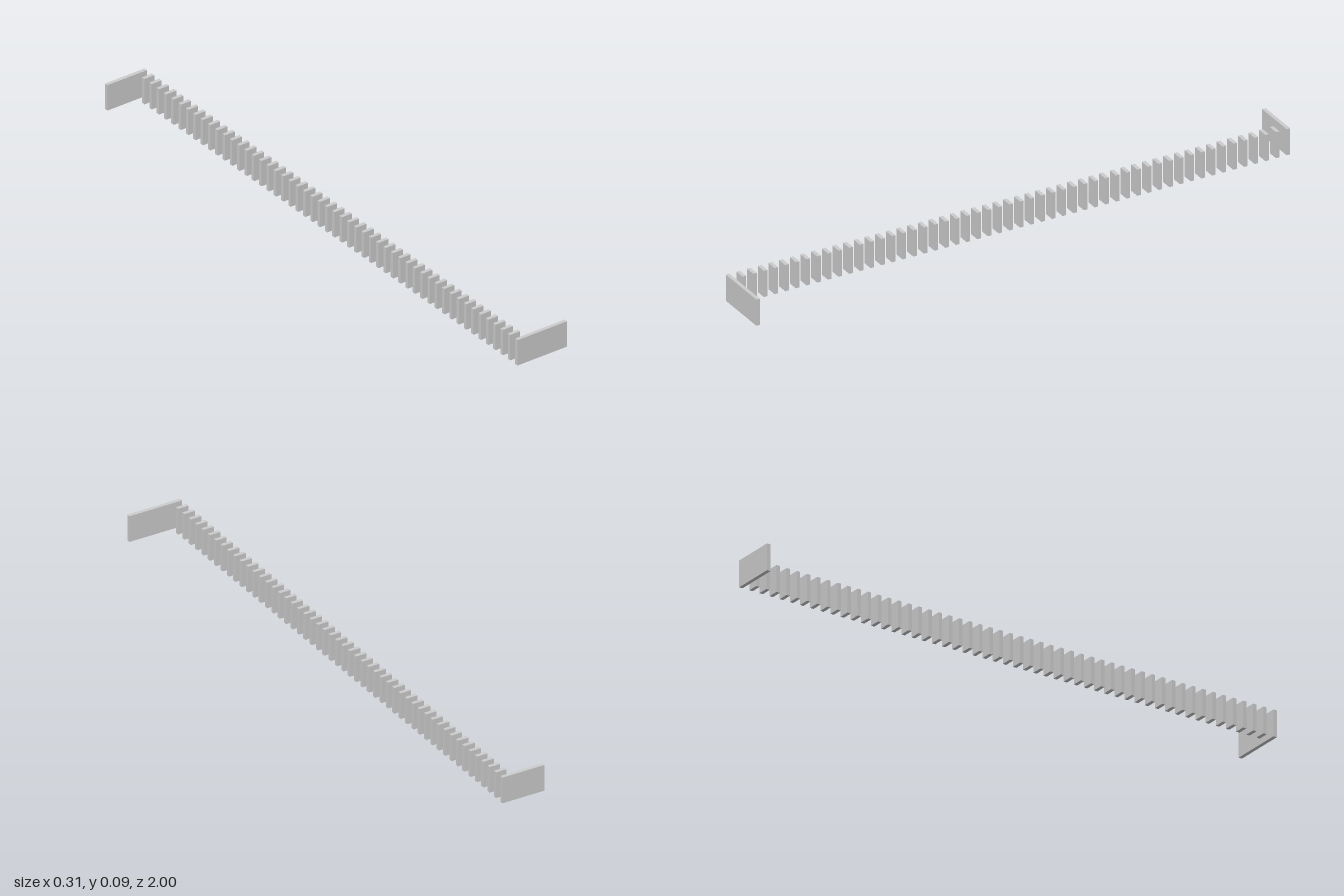
import * as THREE from 'three';

export function createModel() {
  const group = new THREE.Group();
  const material = new THREE.MeshStandardMaterial({ color: 0xcccccc });

  const count = 53;                     // end plates included
  const thickness = 0.0127;
  const pitch = (2 - thickness) / (count - 1);
  const height = 0.092;

  // Upright plate from x0 to x1, centred on z
  function addPlate(name, x0, x1, z) {
    const mesh = new THREE.Mesh(new THREE.BoxGeometry(x1 - x0, height, thickness), material);
    mesh.name = name;
    mesh.position.set((x0 + x1) / 2, height / 2, z);
    group.add(mesh);
  }

  const zEnd = 1 - thickness / 2;

  // Long end plates, reaching out to opposite sides
  addPlate('backEndPlate', -4 * pitch, 0, -zEnd);
  addPlate('frontEndPlate', -pitch, 4 * pitch, zEnd);

  // Row of short slats between them
  for (let i = 1; i < count - 1; i++) {
    addPlate('slat' + i, -pitch, 0, -zEnd + i * pitch);
  }

  return group;
}
